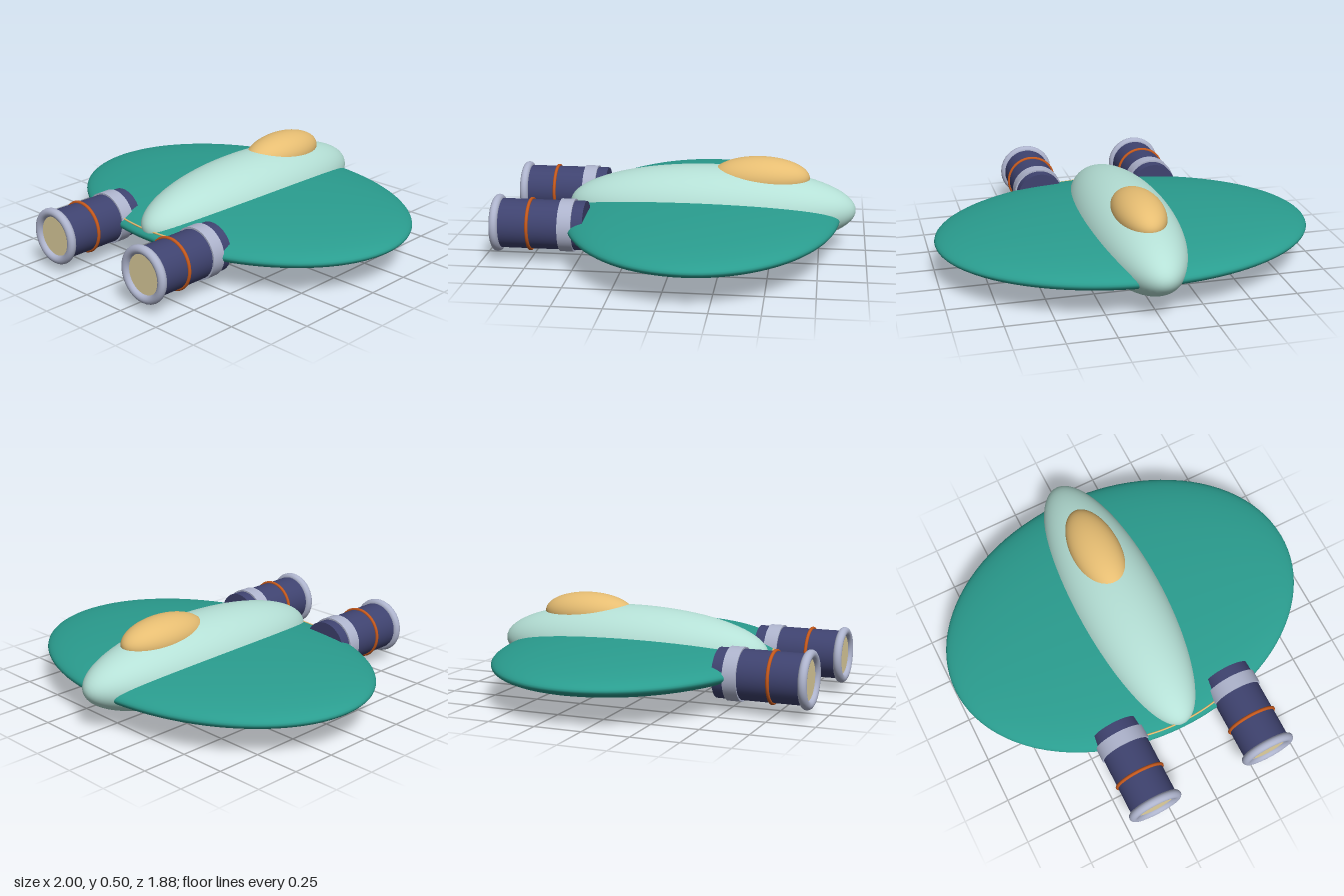
import * as THREE from 'three';

const mat = (name, color) => {
  const m = new THREE.MeshStandardMaterial({ color });
  m.name = name;
  return m;
};

export function createModel() {
  const teal = mat('teal', 0x2a9d8f);
  const mint = mat('mint', 0xb5e0d6);
  const gold = mat('gold', 0xe6bd72);
  const navy = mat('navy', 0x3f4370);
  const silver = mat('silver', 0xaeb4cd);
  const orange = mat('orange', 0xc4581c);
  const cream = mat('cream', 0xe2d2a0);

  const model = new THREE.Group();
  model.name = 'spacecraft';

  const add = (parent, name, geometry, material, x = 0, y = 0, z = 0) => {
    const mesh = new THREE.Mesh(geometry, material);
    mesh.name = name;
    mesh.position.set(x, y, z);
    parent.add(mesh);
    return mesh;
  };

  // Ellipsoid with its poles along the z axis
  const ellipsoid = (rx, ry, rz) =>
    new THREE.SphereGeometry(1, 64, 40).rotateX(Math.PI / 2).scale(rx, ry, rz);
  // Cylinder running along z
  const barrel = (r, length) =>
    new THREE.CylinderGeometry(r, r, length, 48).rotateX(Math.PI / 2);

  // Hull
  add(model, 'discWing', new THREE.SphereGeometry(1, 96, 40).scale(1, 0.115, 0.735), teal, 0, 0.19, -0.125);
  add(model, 'fuselage', ellipsoid(0.255, 0.222, 0.77), mint, 0, 0.222, -0.17);
  add(model, 'canopy', ellipsoid(0.133, 0.11, 0.262), gold, 0, 0.39, -0.43);

  // Thin trim line along the trailing edge
  const trimPoints = [];
  for (let i = -8; i <= 8; i++) {
    const x = (i / 8) * 0.52;
    trimPoints.push(new THREE.Vector3(x, 0.22, -0.125 + 0.712 * Math.sqrt(1 - (x / 0.88) ** 2)));
  }
  const trimCurve = new THREE.CatmullRomCurve3(trimPoints);
  add(model, 'trailingTrim', new THREE.TubeGeometry(trimCurve, 48, 0.005, 8), gold);

  // Pair of engines
  for (const side of [-1, 1]) {
    const engine = new THREE.Group();
    engine.name = side > 0 ? 'leftEngine' : 'rightEngine';
    engine.position.set(side * 0.333, 0.19, 0);
    add(engine, 'engineBody', barrel(0.129, 0.46), navy, 0, 0, 0.682);
    add(engine, 'engineCollar', barrel(0.138, 0.072), silver, 0, 0, 0.546);
    add(engine, 'engineBand', new THREE.TorusGeometry(0.131, 0.009, 12, 48), orange, 0, 0, 0.742);
    add(engine, 'nozzleRim', new THREE.TorusGeometry(0.127, 0.023, 16, 48), silver, 0, 0, 0.917);
    add(engine, 'nozzleGlow', barrel(0.106, 0.008), cream, 0, 0, 0.914);
    model.add(engine);
  }

  return model;
}
